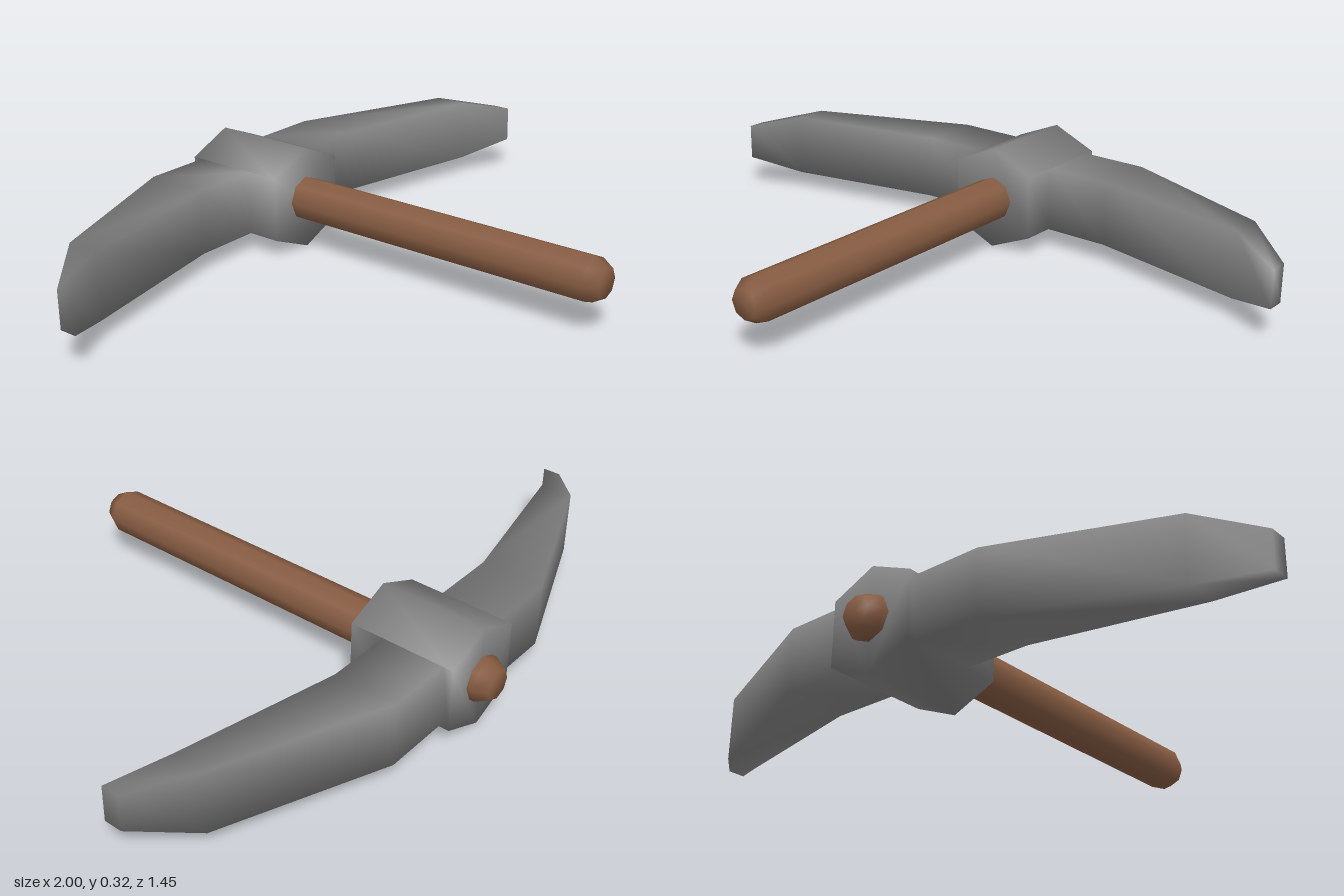
import * as THREE from 'three';
import { mergeVertices } from 'three/addons/utils/BufferGeometryUtils.js';

const AXIS_Y = 0.165;

// Adds quads between successive rings of [x, y, z] points; skipped edges stay open
function loft(out, rings, skip = []) {
  for (let i = 0; i < rings.length - 1; i++) {
    const n = rings[i].length;
    for (let j = 0; j < n; j++) {
      if (skip.includes(j)) continue;
      const k = (j + 1) % n;
      const [a, b, c, d] = [rings[i][j], rings[i][k], rings[i + 1][k], rings[i + 1][j]];
      out.push(...a, ...b, ...c, ...a, ...c, ...d);
    }
  }
}

function cap(out, ring) {
  for (let j = 1; j < ring.length - 1; j++) out.push(...ring[0], ...ring[j], ...ring[j + 1]);
}

function smoothGeometry(points) {
  const raw = new THREE.BufferGeometry();
  raw.setAttribute('position', new THREE.Float32BufferAttribute(points, 3));
  const geometry = mergeVertices(raw, 1e-4);
  geometry.computeVertexNormals();
  return geometry;
}

export function createModel() {
  const model = new THREE.Group();
  const metal = new THREE.MeshStandardMaterial({ color: 0x808080 });
  metal.name = 'grey metal';
  const wood = new THREE.MeshStandardMaterial({ color: 0x875c42 });
  wood.name = 'brown wood';

  // Hexagonal socket block, open where the two arms grow out
  const points = [];
  const hexagon = z => [[0.14, -0.1], [0.14, 0.1], [0, 0.16], [-0.14, 0.1], [-0.14, -0.1], [0, -0.16]]
    .map(([x, y]) => [x, AXIS_Y + y, z]);
  const back = hexagon(-0.667), front = hexagon(-0.332);
  loft(points, [back, front], [0, 3]);
  cap(points, front);
  cap(points, [...back].reverse());

  // Curved arms: x, half height, back z, front z
  const sections = [
    [0.14, 0.1, -0.667, -0.332],
    [0.14, 0.1, -0.635, -0.438],
    [0.345, 0.1, -0.635, -0.438],
    [0.84, 0.1, -0.435, -0.332],
    [1, 0.057, -0.302, -0.246],
  ];
  for (const side of [1, -1]) {
    const rings = sections.map(([x, h, zb, zf]) => {
      const ring = [[-h, zb], [h, zb], [h, zf], [-h, zf]].map(([y, z]) => [side * x, AXIS_Y + y, z]);
      return side > 0 ? ring : ring.reverse();
    });
    loft(points, rings);
    cap(points, rings[rings.length - 1]);
  }
  const head = new THREE.Mesh(smoothGeometry(points), metal);
  head.name = 'pickHead';
  model.add(head);

  // Round handle with chamfered ends
  const profile = [[0, -0.723], [0.045, -0.723], [0.068, -0.683], [0.068, 0.683], [0.045, 0.723], [0, 0.723]]
    .map(([r, y]) => new THREE.Vector2(r, y));
  const handle = new THREE.Mesh(new THREE.LatheGeometry(profile, 8).rotateX(Math.PI / 2), wood);
  handle.name = 'handle';
  handle.position.y = AXIS_Y;
  model.add(handle);

  return model;
}
